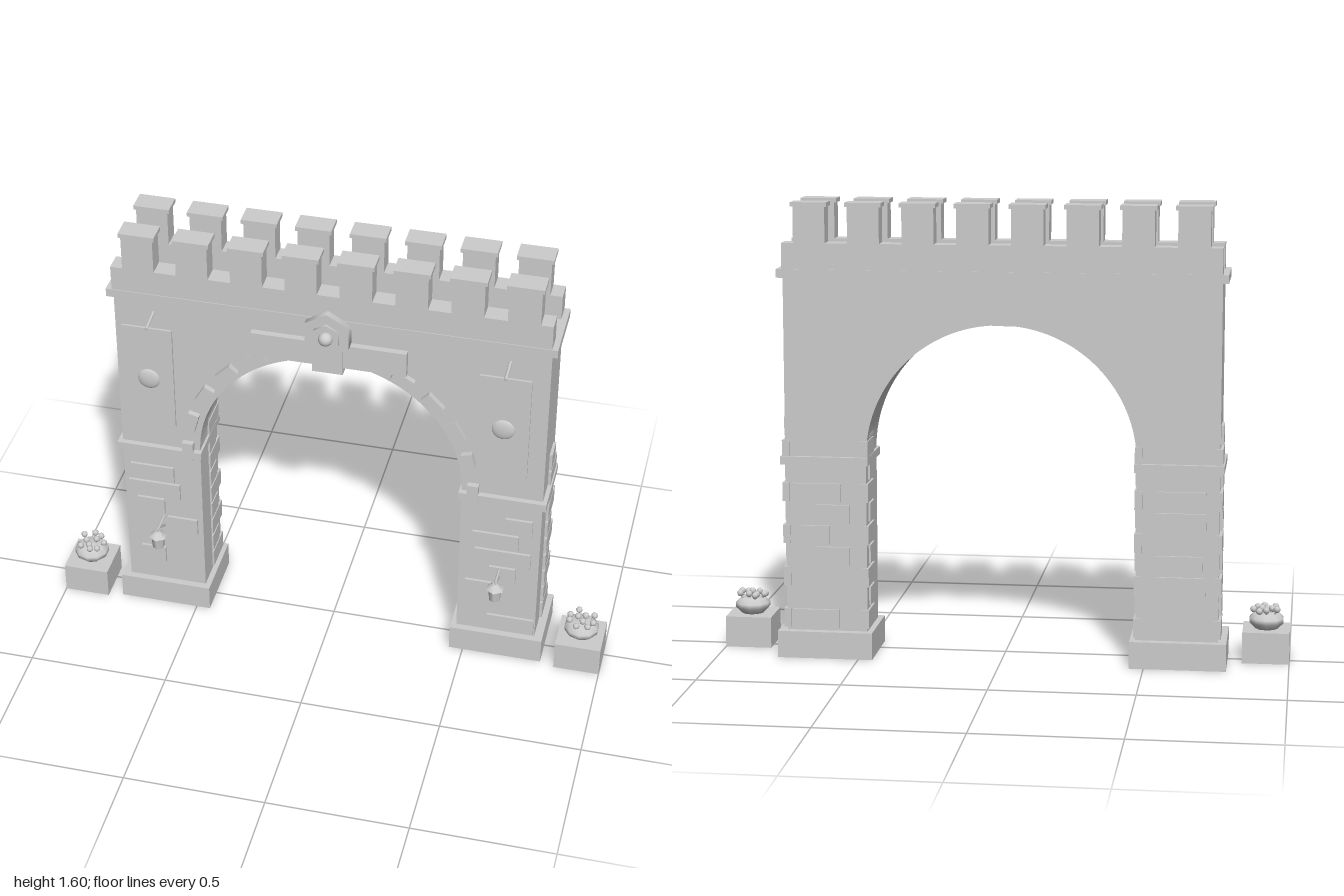
import * as THREE from 'three';

export function createModel() {
  const root = new THREE.Group();
  const stone = new THREE.MeshStandardMaterial({ color: 0xcccccc });
  stone.name = 'stone grey';

  const add = (name, geo, parent = root) => {
    const m = new THREE.Mesh(geo, stone);
    m.name = name;
    parent.add(m);
    return m;
  };
  // Box given by its extents on each axis
  const block = (name, x0, x1, y0, y1, z0, z1, parent = root) => {
    const m = add(name, new THREE.BoxGeometry(Math.abs(x1 - x0), y1 - y0, z1 - z0), parent);
    m.position.set((x0 + x1) / 2, (y0 + y1) / 2, (z0 + z1) / 2);
    return m;
  };
  // Round bar between two points
  const bar = (name, a, b, r, parent) => {
    const p = new THREE.Vector3(...a), q = new THREE.Vector3(...b);
    const m = add(name, new THREE.CylinderGeometry(r, r, p.distanceTo(q), 8), parent);
    m.position.copy(p).lerp(q, 0.5);
    m.quaternion.setFromUnitVectors(new THREE.Vector3(0, 1, 0), q.sub(p).normalize());
    return m;
  };

  // Gate wall with a round arch
  const FRONT = 0.065, BACK = -0.145, W = 0.755, R = 0.47, SPRING = 0.715;
  const wall = new THREE.Shape();
  wall.moveTo(-W, 0.05);
  wall.lineTo(-R, 0.05);
  wall.lineTo(-R, SPRING);
  wall.absarc(0, SPRING, R, Math.PI, 0, true);
  wall.lineTo(R, 0.05);
  wall.lineTo(W, 0.05);
  wall.lineTo(W, 1.35);
  wall.lineTo(-W, 1.35);
  const wallGeo = new THREE.ExtrudeGeometry(wall, { depth: FRONT - BACK, bevelEnabled: false, curveSegments: 40 });
  wallGeo.translate(0, 0, BACK);
  add('archWall', wallGeo);

  // Cornice, parapets and capped merlons
  block('cornice', -0.775, 0.775, 1.34, 1.37, -0.165, 0.085);
  for (const z of [0.049, -0.13]) {
    block('parapet', -W, W, 1.37, 1.46, z - 0.033, z + 0.033);
    for (let i = 0; i < 8; i++) {
      const x = (i - 3.5) * 0.188;
      block('merlon', x - 0.055, x + 0.055, 1.46, 1.588, z - 0.033, z + 0.033);
      block('merlonCap', x - 0.0625, x + 0.0625, 1.585, 1.6, z - 0.04, z + 0.038);
    }
  }

  // Raised bricks on the pillar faces: [row, x0, x1]
  const frontBricks = [
    [6, -0.73, -0.57], [5, -0.74, -0.55], [4, -0.71, -0.61], [3, -0.6, -0.49], [1, -0.705, -0.615],
    [6, 0.63, 0.725], [5, 0.515, 0.68], [4, 0.525, 0.725], [3, 0.58, 0.675], [2, 0.495, 0.59], [0, 0.58, 0.75],
  ];
  const backBricks = [
    [6, 0.56, 0.73], [5, 0.53, 0.65], [4, 0.6, 0.7], [3, 0.53, 0.65], [0, 0.57, 0.73],
    [6, -0.71, -0.54], [5, -0.71, -0.54], [3, -0.7, -0.54], [2, -0.71, -0.54],
  ];
  const rowY = (r) => 0.106 + r * 0.075;
  for (const [r, x0, x1] of frontBricks) block('frontBrick', x0, x1, rowY(r), rowY(r) + 0.065, 0.05, 0.075);
  for (const [r, x0, x1] of backBricks) block('backBrick', x0, x1, rowY(r), rowY(r) + 0.065, -0.154, -0.13);

  for (const s of [-1, 1]) {
    // Pillar base, impost band and side quoins
    block('plinth', s * 0.45, s * 0.785, 0, 0.095, -0.175, 0.09);
    block('impost', s * 0.462, s * 0.77, 0.687, 0.716, -0.16, 0.085);
    for (let r = 0; r < 10; r++) {
      const z0 = r % 2 ? -0.108 : -0.152;
      block('outerQuoin', s * 0.74, s * 0.765, rowY(r), rowY(r) + 0.066, z0, -0.03);
      block('innerQuoin', s * 0.463, s * 0.49, rowY(r), rowY(r) + 0.066, z0, -0.03);
    }

    // Arch stones
    for (let i = 0; i < 5; i++) {
      const a = (i * Math.PI) / 12;
      const v = add('archStone', new THREE.BoxGeometry(0.04, 0.075, 0.035));
      v.position.set(s * 0.511 * Math.cos(a), SPRING + 0.511 * Math.sin(a), 0.068);
      v.rotation.z = s * a;
    }

    // Hanging banner with boss and rod
    const banner = new THREE.Group();
    banner.name = 'banner';
    banner.position.x = s * 0.617;
    root.add(banner);
    const cloth = new THREE.Shape([[-0.088, 1.275], [-0.088, 0.87], [0, 0.8], [0.088, 0.87], [0.088, 1.275]]
      .map(([x, y]) => new THREE.Vector2(x, y)));
    const clothGeo = new THREE.ExtrudeGeometry(cloth, { depth: 0.008, bevelEnabled: false });
    clothGeo.translate(0, 0, 0.14);
    add('bannerCloth', clothGeo, banner);
    const boss = add('bannerBoss', new THREE.SphereGeometry(0.04, 20, 12), banner);
    boss.scale.z = 0.3;
    boss.position.set(0, 1.065, 0.146);
    bar('bannerRod', [0, 1.285, 0.06], [0, 1.272, 0.15], 0.006, banner);

    // Wall lantern on a braced arm
    const lantern = new THREE.Group();
    lantern.name = 'lantern';
    lantern.position.x = s * 0.617;
    root.add(lantern);
    bar('lanternArm', [0, 0.388, 0.06], [0, 0.388, 0.15], 0.005, lantern);
    bar('lanternBrace', [0, 0.345, 0.06], [0, 0.385, 0.125], 0.005, lantern);
    add('lanternBody', new THREE.CylinderGeometry(0.025, 0.021, 0.05, 6), lantern).position.set(0, 0.337, 0.145);
    add('lanternRoof', new THREE.CylinderGeometry(0.01, 0.033, 0.02, 6), lantern).position.set(0, 0.371, 0.145);
    bar('lanternHook', [0, 0.375, 0.145], [0, 0.39, 0.145], 0.004, lantern);

    // Planter block with a bowl of blossoms
    const planter = new THREE.Group();
    planter.name = 'planter';
    planter.position.set(s * 0.918, 0, 0.025);
    root.add(planter);
    block('planterBlock', -0.082, 0.082, 0, 0.11, -0.08, 0.082, planter);
    const profile = [[0, 0.108], [0.04, 0.11], [0.062, 0.132], [0.062, 0.148], [0.045, 0.165], [0, 0.168]]
      .map(([r, y]) => new THREE.Vector2(r, y));
    add('bowl', new THREE.LatheGeometry(profile, 10), planter);
    for (let i = 0; i < 10; i++) {
      const a = i * 2.4 + s, r = i < 7 ? 0.046 : 0.02;
      const x = r * Math.cos(a), z = r * Math.sin(a), y = 0.177 + (i % 3) * 0.003;
      bar('stem', [x * 0.7, 0.155, z * 0.7], [x, y, z], 0.004, planter);
      add('blossom', new THREE.SphereGeometry(0.012, 8, 6), planter).position.set(x, y, z);
    }
  }

  // Lintel plate, keystone and hexagonal emblem
  block('lintelPlate', -0.27, 0.27, 1.18, 1.272, 0.05, 0.088);
  block('keystone', -0.053, 0.053, 1.157, 1.28, 0.045, 0.096);
  const hex = (name, r, z0, z1) => {
    const m = add(name, new THREE.CylinderGeometry(r, r, z1 - z0, 6));
    m.rotation.x = Math.PI / 2;
    m.position.set(0, 1.315, (z0 + z1) / 2);
  };
  hex('emblemPlate', 0.087, 0.06, 0.108);
  hex('emblemInner', 0.05, 0.1, 0.118);
  add('emblemBall', new THREE.SphereGeometry(0.025, 16, 12)).position.set(0, 1.315, 0.122);

  return root;
}
